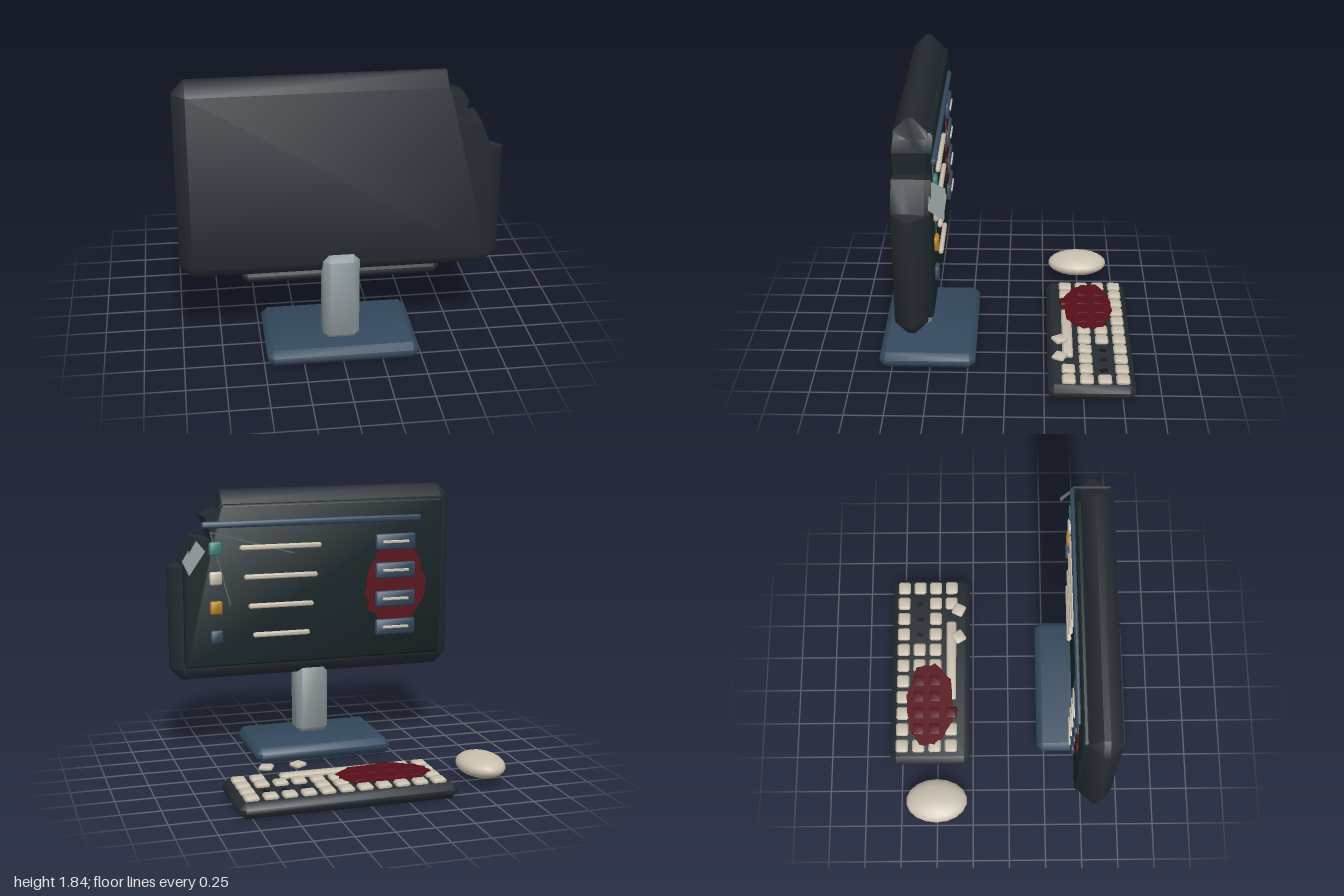
import * as THREE from 'three';
import { toCreasedNormals } from 'three/addons/utils/BufferGeometryUtils.js';

const mat = (color, side = THREE.FrontSide) => new THREE.MeshStandardMaterial({ color, side });
const M = {
  shell: mat(0x252b32), screen: mat(0x1a2629), blue: mat(0x34495e), steel: mat(0x8c979a),
  cream: mat(0xc8bfae), keyboard: mat(0x252c32), blood: mat(0x560f18), teal: mat(0x3f8078),
  amber: mat(0xb57d22), glass: mat(0x8a9496, THREE.DoubleSide), crack: mat(0x55666a), dark: mat(0x15191d),
};

// Box with 45 degree bevels, centred on the origin; "cut" replaces its upper +x corner with a jagged edge.
function bevelBox(w, h, d, b, cut) {
  const x = w / 2, y = h / 2, z = d / 2;
  const clamp = THREE.MathUtils.clamp;
  const corner = cut
    ? cut.map(([px, py]) => [Math.min(px, x), Math.min(py, y)])
    : [[x, y - b], [x - b, y]];
  const outline = [[b - x, y], [-x, y - b], [-x, b - y], [b - x, -y], [x - b, -y], [x, b - y], ...corner];
  const inner = outline.map(([px, py]) => [clamp(px, b - x, x - b), clamp(py, b - y, y - b)]);
  const loops = [[inner, -z], [outline, b - z], [outline, z - b], [inner, z]];
  const n = outline.length;
  const pos = loops.flatMap(([pts, pz]) => pts.flatMap(([px, py]) => [px, py, pz]));
  const idx = [];
  for (let k = 0; k < 3; k++) {
    for (let i = 0; i < n; i++) {
      const a = k * n + i, c = k * n + (i + 1) % n;
      idx.push(a, c, c + n, a, c + n, a + n);
    }
  }
  const face = inner.map((p) => new THREE.Vector2(...p));
  for (const [i, j, k] of THREE.ShapeUtils.triangulateShape(face, [])) {
    idx.push(3 * n + i, 3 * n + j, 3 * n + k, k, j, i);
  }
  const g = new THREE.BufferGeometry();
  g.setAttribute('position', new THREE.Float32BufferAttribute(pos, 3));
  g.setIndex(idx);
  return toCreasedNormals(g, 0.9);
}

function add(parent, name, geometry, material, x, y, z) {
  const m = new THREE.Mesh(geometry, material);
  m.name = name;
  m.position.set(x, y, z);
  parent.add(m);
  return m;
}

// Flat stain with a ragged rim, lying in the xy plane
function stain(rx, ry, seed) {
  const pts = [];
  let s = seed;
  for (let i = 0; i < 32; i++) {
    s = (s * 16807) % 2147483647;
    const r = 0.86 + 0.14 * (s / 2147483647);
    const a = (i / 32) * Math.PI * 2;
    pts.push(new THREE.Vector2(Math.cos(a) * rx * r, Math.sin(a) * ry * r));
  }
  return new THREE.ExtrudeGeometry(new THREE.Shape(pts), { depth: 0.01, bevelEnabled: false });
}

function buildMonitor() {
  const g = new THREE.Group();
  g.name = 'monitor';
  const cy = 1.195;
  const breakLine = [[1, 1.335], [0.925, 1.355], [0.845, 1.54], [0.715, 1.51], [0.765, 1.67], [0.66, 1.715], [0.64, 1.84]];

  // Casing and screen share the broken corner
  const cut = breakLine.map(([x, y]) => [x, y - cy]);
  add(g, 'casing', bevelBox(2, 1.29, 0.2, 0.08, cut), M.shell, 0, cy, 0.56);
  const cutScreen = breakLine.map(([x, y]) => [x, y - 1.2]);
  add(g, 'screen', bevelBox(1.83, 1.1, 0.045, 0.015, cutScreen), M.screen, 0, 1.2, 0.447);

  // Stand
  add(g, 'standNeck', bevelBox(0.23, 0.59, 0.19, 0.04), M.steel, 0, 0.395, 0.605);
  add(g, 'standBase', bevelBox(0.96, 0.11, 0.63, 0.04), M.blue, 0, 0.055, 0.515);

  // Picture on the screen: title bar and four rows of icon, line and button
  add(g, 'titleBar', bevelBox(1.545, 0.045, 0.03, 0.01), M.blue, 0.018, 1.62, 0.413);
  const icons = [M.teal, M.cream, M.amber, M.blue];
  icons.forEach((material, i) => {
    const y = 1.46 - i * 0.2;
    add(g, 'icon', bevelBox(0.085, 0.09, 0.03, 0.01), material, 0.7, y, 0.413);
    add(g, 'listLine', bevelBox(0.57 - i * 0.057, 0.034, 0.03, 0.01), M.cream, 0.25, y, 0.408);
    add(g, 'button', bevelBox(0.29, 0.11, 0.03, 0.01), M.blue, -0.57, y, 0.413);
    add(g, 'buttonLine', bevelBox(0.19, 0.02, 0.014, 0.004), M.cream, -0.57, y, 0.395);
  });
  add(g, 'screenStain', stain(0.24, 0.3, 77), M.blood, -0.57, 1.15, 0.416);

  // Cracks running from the broken corner
  for (const [x, y] of [[0.6, 1.07], [0.16, 1.41]]) {
    const dx = x - 0.73, dy = y - 1.57;
    const c = add(g, 'crack', new THREE.BoxGeometry(Math.hypot(dx, dy), 0.009, 0.008), M.crack, 0.73 + dx / 2, 1.57 + dy / 2, 0.422);
    c.rotation.z = Math.atan2(dy, dx);
  }

  // Loose glass shard leaning out of the break
  const shard = new THREE.BufferGeometry();
  shard.setAttribute('position', new THREE.Float32BufferAttribute(
    [0.83, 1.525, 0.435, 0.92, 1.38, 0.44, 0.89, 1.295, 0.35, 0.78, 1.455, 0.345], 3));
  shard.setIndex([0, 1, 2, 0, 2, 3]);
  shard.computeVertexNormals();
  add(g, 'glassShard', shard, M.glass, 0, 0, 0);
  return g;
}

function buildKeyboard() {
  const g = new THREE.Group();
  g.name = 'keyboard';
  add(g, 'keyboardCase', bevelBox(1.4, 0.105, 0.56, 0.04), M.keyboard, 0.13, 0.0525, -0.552);

  // Key grid: three caps are missing, the long bar takes the place of six
  const cap = bevelBox(0.092, 0.034, 0.088, 0.012);
  const keyX = (i) => -0.455 + i * 0.12;
  for (let row = 0; row < 4; row++) {
    const z = -0.75 + row * 0.115;
    for (let i = 0; i < 11; i++) {
      if (row === 1 && i >= 7 && i <= 9) {
        const stem = add(g, 'bareStem', new THREE.BoxGeometry(0.025, 0.012, 0.045), M.dark, keyX(i), 0.108, z);
        stem.rotation.y = (i - 8) * 0.4;
        continue;
      }
      if (row === 3 && i >= 3 && i <= 8) continue;
      const stained = (row === 1 || row === 2) ? i >= 1 && i <= 4 : row === 3 && i === 2;
      add(g, stained ? 'stainedKey' : 'key', cap, stained ? M.blood : M.cream, keyX(i), stained ? 0.121 : 0.116, z);
    }
  }
  add(g, 'spaceBar', bevelBox(0.595, 0.034, 0.07, 0.012), M.cream, 0.183, 0.116, -0.405);
  const splash = add(g, 'keyboardStain', stain(0.33, 0.18, 1234), M.blood, -0.15, 0.125, -0.555);
  splash.rotation.x = -Math.PI / 2;

  // Two caps knocked loose
  for (const [x, turn] of [[0.345, 0.55], [0.553, -0.45]]) {
    add(g, 'looseKey', bevelBox(0.088, 0.028, 0.085, 0.01), M.cream, x, 0.167, -0.35).rotation.y = turn;
  }
  return g;
}

export function createModel() {
  const model = new THREE.Group();
  model.name = 'brokenDesktopComputer';
  model.add(buildMonitor(), buildKeyboard());
  const mouse = add(model, 'mouse', new THREE.SphereGeometry(1, 18, 10), M.cream, -0.848, 0.107, -0.502);
  mouse.scale.set(0.154, 0.075, 0.213);
  return model;
}
